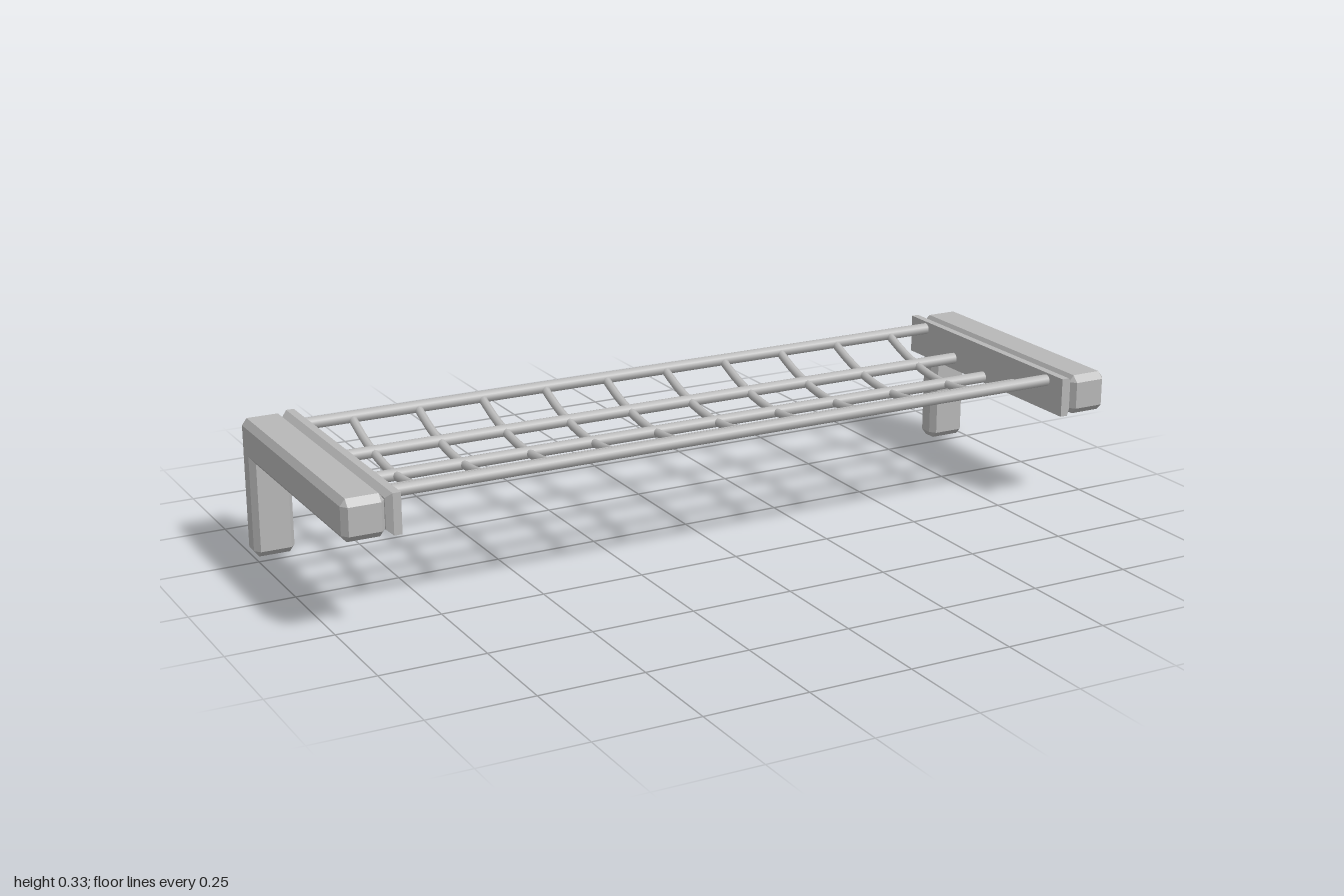
import * as THREE from 'three';
import { ConvexGeometry } from 'three/addons/geometries/ConvexGeometry.js';

// Box with every edge and corner chamfered, given by its min and max corners
function chamferBox(min, max, c) {
  const pts = [];
  const mid = min.map((v, i) => (v + max[i]) / 2);
  const half = min.map((v, i) => (max[i] - v) / 2);
  for (const sx of [-1, 1]) for (const sy of [-1, 1]) for (const sz of [-1, 1]) {
    const s = [sx, sy, sz];
    for (let full = 0; full < 3; full++) {
      const p = s.map((sign, i) => mid[i] + sign * (half[i] - (i === full ? 0 : c[i])));
      pts.push(new THREE.Vector3(...p));
    }
  }
  return new ConvexGeometry(pts);
}

// Plate whose outer face is chamfered toward the side beam
function plateGeometry(side) {
  const pts = [];
  for (const [x, inset] of [[0.867, 0], [0.886, 0], [0.9, 0.012]]) {
    for (const y of [0.237 + inset, 0.333 - inset]) {
      for (const z of [-0.333 + inset, 0.333 - inset]) pts.push(new THREE.Vector3(side * x, y, z));
    }
  }
  return new ConvexGeometry(pts);
}

export function createModel() {
  const model = new THREE.Group();
  const metal = new THREE.MeshStandardMaterial({ color: 0xb8b8b8 });
  const add = (name, geometry) => {
    const mesh = new THREE.Mesh(geometry, metal);
    mesh.name = name;
    model.add(mesh);
    return mesh;
  };

  // L-shaped ends: long beam, rear leg and inner mounting plate
  const chamfer = [0.012, 0.016, 0.016];
  for (const side of [-1, 1]) {
    const label = side > 0 ? 'left' : 'right';
    const x0 = side > 0 ? 0.9 : -1;
    const x1 = x0 + 0.1;
    add(label + 'Beam', chamferBox([x0, 0.235, -0.333], [x1, 0.333, 0.333], chamfer));
    add(label + 'Leg', chamferBox([x0, 0, -0.333], [x1, 0.3, -0.267], chamfer));
    add(label + 'MountingPlate', plateGeometry(side));
  }

  // Sagging profile shared by the long rods and the cross bars
  const sagY = (z) => 0.251 + 0.063 * (z / 0.267) ** 2;

  // Long rods from plate to plate
  for (let i = -2; i <= 2; i++) {
    const z = i * 0.1335;
    const rod = add('longRod', new THREE.CylinderGeometry(0.0145, 0.0145, 1.76, 12, 1, true));
    rod.rotation.z = Math.PI / 2;
    rod.position.set(0, sagY(z), z);
  }

  // Curved cross bars
  const points = [];
  for (let i = -4; i <= 4; i++) {
    const z = i * 0.267 / 4;
    points.push(new THREE.Vector3(0, sagY(z), z));
  }
  const barGeometry = new THREE.TubeGeometry(new THREE.CatmullRomCurve3(points), 16, 0.0105, 8);
  for (let i = 0; i < 10; i++) {
    add('crossBar', barGeometry).position.x = (i - 4.5) * 0.1665;
  }

  return model;
}
